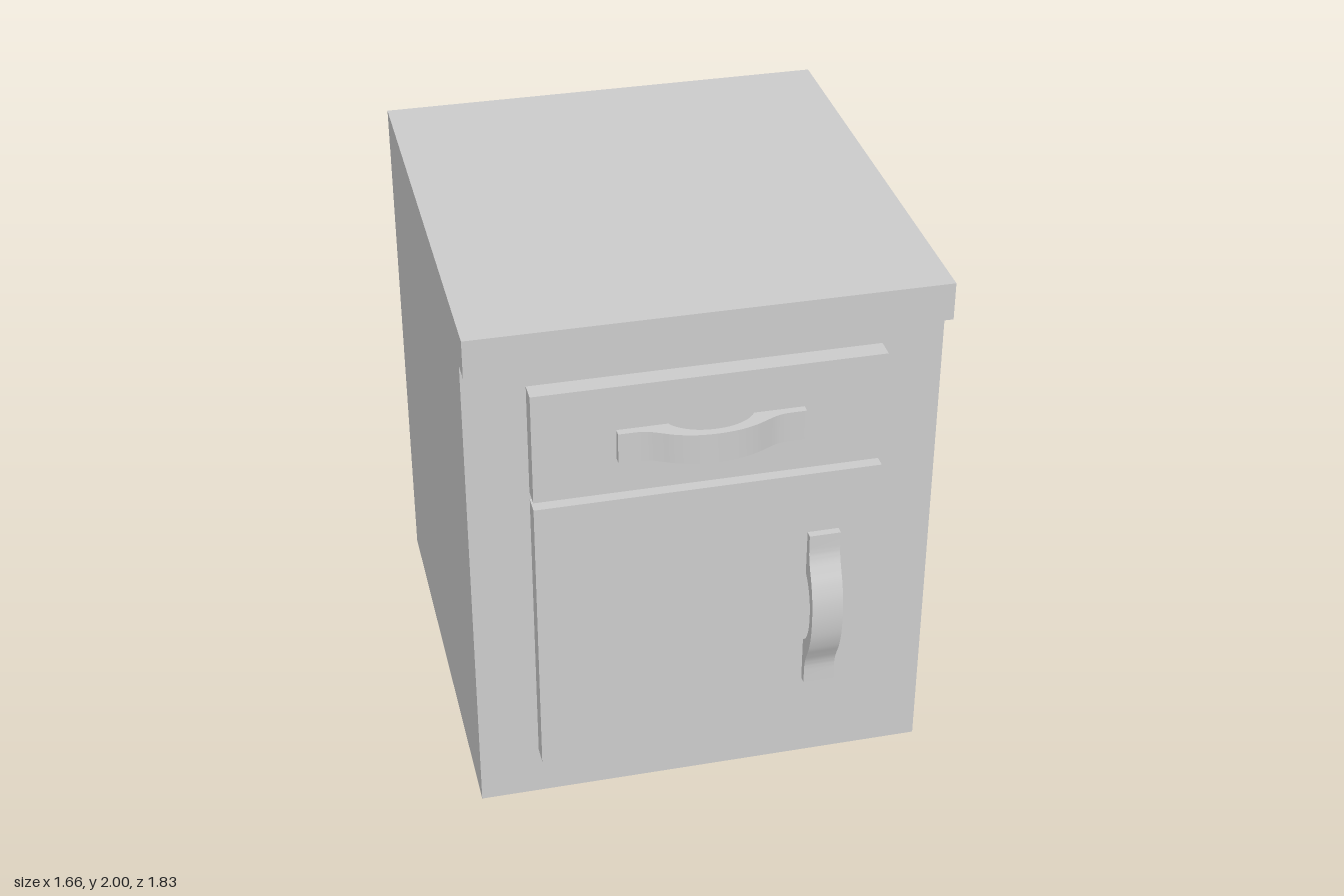
import * as THREE from 'three';
import { toCreasedNormals } from 'three/addons/utils/BufferGeometryUtils.js';

const material = new THREE.MeshStandardMaterial({ color: 0xcccccc });
const shellMaterial = new THREE.MeshStandardMaterial({ color: 0xcccccc, side: THREE.DoubleSide });

// Box given by its limits; faces listed in "skip" are left open (+x,-x,+y,-y,+z,-z = 0..5)
function box(name, [x0, x1], [y0, y1], [z0, z1], skip = []) {
  const geometry = new THREE.BoxGeometry(x1 - x0, y1 - y0, z1 - z0);
  const index = Array.from(geometry.index.array);
  geometry.setIndex(index.filter((_, i) => !skip.includes(Math.floor(i / 6))));
  geometry.clearGroups();
  const mesh = new THREE.Mesh(geometry, skip.length ? shellMaterial : material);
  mesh.name = name;
  mesh.position.set((x0 + x1) / 2, (y0 + y1) / 2, (z0 + z1) / 2);
  return mesh;
}

// Smooth symmetric curve from a half profile that ends on the centre line
function mirroredCurve(half, samples) {
  const left = half.map(([u, w]) => new THREE.Vector2(-u, w));
  const right = half.slice(0, -1).reverse().map(([u, w]) => new THREE.Vector2(u, w));
  return new THREE.SplineCurve([...left, ...right]).getPoints(samples);
}

// Bowed pull: flat feet and an arched grip, running along x and standing out along z
function handleGeometry() {
  const width = 0.113;
  const outer = mirroredCurve([[0.27, 0.028], [0.245, 0.03], [0.215, 0.038], [0.18, 0.054],
    [0.137, 0.074], [0.075, 0.091], [0, 0.097]], 48);
  const inner = mirroredCurve([[0.147, 0], [0.14, 0.012], [0.11, 0.038], [0.06, 0.06], [0, 0.067]], 32);
  const shape = new THREE.Shape([
    new THREE.Vector2(-0.325, 0), new THREE.Vector2(-0.325, 0.028),
    ...outer,
    new THREE.Vector2(0.325, 0.028), new THREE.Vector2(0.325, 0),
    ...inner.reverse(),
  ]);
  const geometry = new THREE.ExtrudeGeometry(shape, { depth: width, bevelEnabled: false });
  geometry.translate(0, 0, -width / 2).rotateX(Math.PI / 2);
  return toCreasedNormals(geometry, 0.6);
}

export function createModel() {
  const group = new THREE.Group();
  group.name = 'bedsideCabinet';

  const halfWidth = 0.828, panelX = [-0.612, 0.612];
  const faceZ = 0.75, panelZ = 0.82, linerZ = 0.65;

  // Hollow carcass, open underneath, with the overhanging top
  group.add(box('cabinetBody', [-halfWidth, halfWidth], [0, 1.862], [-0.914, faceZ], [2, 3]));
  group.add(box('top', [-halfWidth, halfWidth], [1.862, 2], [-0.917, 0.832]));

  // Front panels, each with an open liner behind the face
  const panels = { drawer: [1.333, 1.752], door: [0.195, 1.303] };
  for (const [name, panelY] of Object.entries(panels)) {
    group.add(box(name + 'Front', panelX, panelY, [faceZ, panelZ]));
    group.add(box(name + 'Liner', panelX, panelY, [linerZ, faceZ], [4, 5]));
  }

  // Handles: horizontal on the drawer, upright on the door
  const geometry = handleGeometry();
  const drawerHandle = new THREE.Mesh(geometry, material);
  drawerHandle.name = 'drawerHandle';
  drawerHandle.position.set(0, 1.527, panelZ);
  const doorHandle = new THREE.Mesh(geometry, material);
  doorHandle.name = 'doorHandle';
  doorHandle.position.set(0.411, 0.733, panelZ);
  doorHandle.rotation.z = Math.PI / 2;
  group.add(drawerHandle, doorHandle);

  return group;
}
